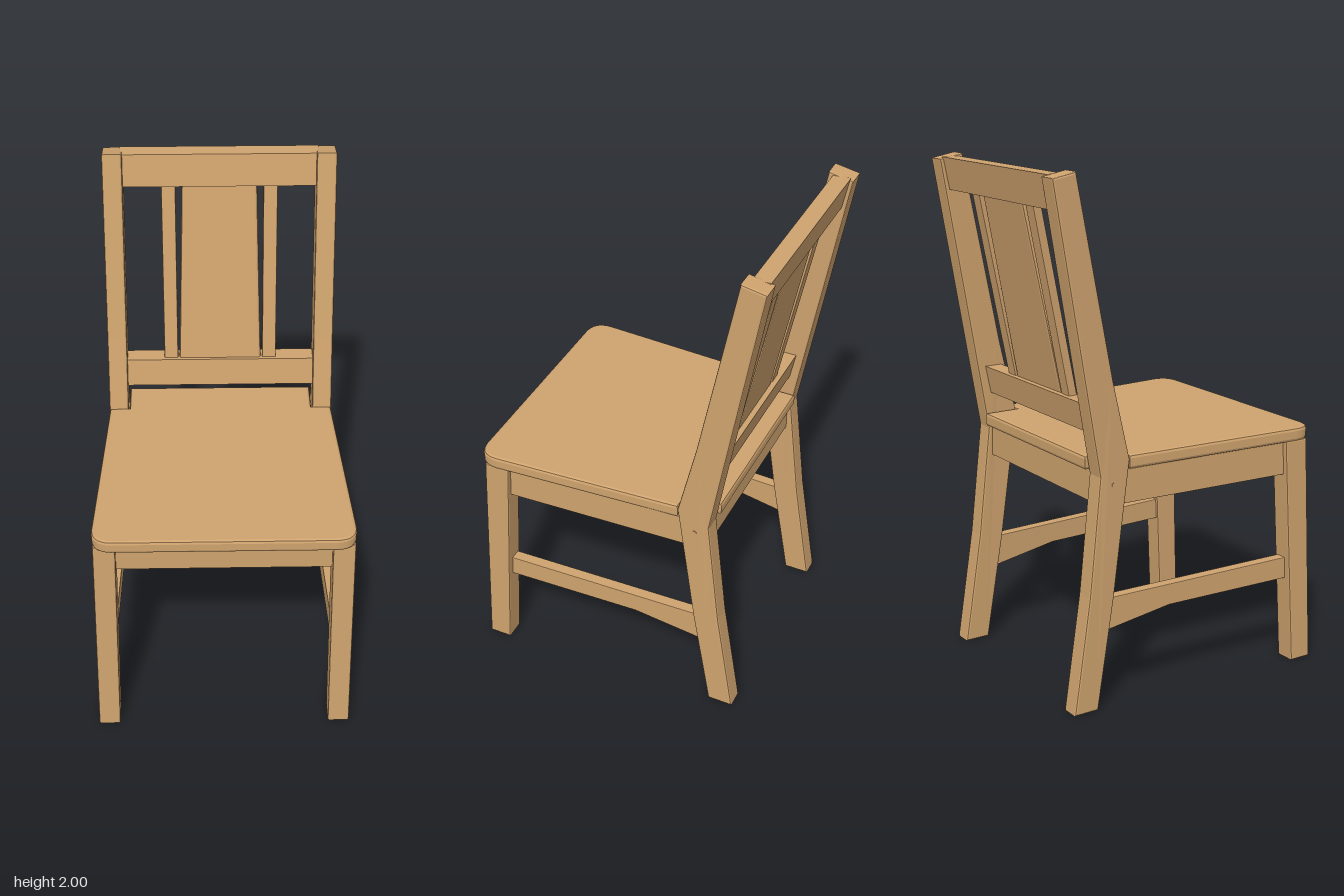
import * as THREE from 'three';

const wood = new THREE.MeshStandardMaterial({ color: 0xcfa36e });
wood.name = 'light wood';

// Bevelled extrusion that keeps the drawn outline, centred along its depth
function bevelled(shape, depth, bevel) {
  const g = new THREE.ExtrudeGeometry(shape, {
    depth: depth - 2 * bevel, bevelEnabled: true, bevelThickness: bevel,
    bevelSize: bevel, bevelOffset: -bevel, bevelSegments: 2, curveSegments: 8,
  });
  return g.translate(0, 0, bevel - depth / 2);
}

// Part drawn as a side outline of [z, y] points, given a width in x,
// then shifted or tapered by moveX(x, y, z)
function sidePart(name, outline, width, bevel, moveX) {
  const shape = new THREE.Shape(outline.map(([z, y]) => new THREE.Vector2(z, y)));
  const g = bevelled(shape, width, bevel).rotateY(-Math.PI / 2);
  if (moveX) {
    const p = g.attributes.position;
    for (let i = 0; i < p.count; i++) p.setX(i, moveX(p.getX(i), p.getY(i), p.getZ(i)));
    g.computeVertexNormals();
  }
  const mesh = new THREE.Mesh(g, wood);
  mesh.name = name;
  return mesh;
}

// Leaning strip of the backrest between two heights
const leanZ = (y) => -0.33 - (y - 1.155) * 0.2;
function leaning(y0, y1, offset, thick) {
  const a = leanZ(y0) - offset, b = leanZ(y1) - offset;
  return [[a, y0], [b, y1], [b - thick, y1], [a - thick, y0]];
}

export function createModel() {
  const chair = new THREE.Group();
  chair.name = 'chair';

  // Seat: wider at the front, rounded front corners, notched around the back posts
  const s = new THREE.Shape();
  s.moveTo(-0.372, 0.405);
  s.lineTo(-0.372, 0.262);
  s.lineTo(-0.452, 0.262);
  s.lineTo(-0.495, -0.49);
  s.quadraticCurveTo(-0.495, -0.565, -0.42, -0.569);
  s.lineTo(0.42, -0.569);
  s.quadraticCurveTo(0.495, -0.565, 0.495, -0.49);
  s.lineTo(0.452, 0.262);
  s.lineTo(0.372, 0.262);
  s.lineTo(0.372, 0.405);
  const seat = new THREE.Mesh(bevelled(s, 0.054, 0.012).rotateX(-Math.PI / 2), wood);
  seat.name = 'seat';
  seat.position.y = 0.937;
  chair.add(seat);

  for (const side of [1, -1]) {
    const label = side > 0 ? 'left' : 'right';
    // Side members follow the narrowing of the seat towards the back
    const splay = (x, y, z) => x + side * (0.431 + z * 0.035);

    chair.add(sidePart(label + 'FrontLeg',
      [[0.485, 0], [0.576, 0], [0.54, 0.915], [0.438, 0.915]], 0.085, 0.006,
      (x, y) => x + side * (0.462 - y * 0.015)));

    chair.add(sidePart(label + 'BackPost',
      [[-0.51, 0], [-0.408, 0], [-0.335, 0.43], [-0.262, 0.95], [-0.332, 1.25],
        [-0.48, 2.0], [-0.576, 1.982], [-0.45, 1.25], [-0.39, 0.9], [-0.44, 0.45]],
      0.078, 0.008, (x, y) => x + side * (y < 0.9 ? 0.424 - y * 0.009 : 0.4155 - (y - 0.9) * 0.004)));

    chair.add(sidePart(label + 'Apron',
      [[0.47, 0.778], [0.47, 0.912], [-0.3, 0.912], [-0.3, 0.783]], 0.05, 0.003, splay));

    // Side stretcher, deepening where it meets the back post
    chair.add(sidePart(label + 'Stretcher',
      [[0.5, 0.345], [0.5, 0.432], [-0.36, 0.427], [-0.375, 0.298], [-0.08, 0.345]],
      0.045, 0.003, splay));

    chair.add(sidePart(label + 'Slat', leaning(1.14, 1.88, 0.015, 0.035), 0.055, 0.004,
      (x) => x + side * 0.198));

    // Small peg at the seat joint
    const peg = new THREE.Mesh(new THREE.CylinderGeometry(0.008, 0.008, 0.006, 12), wood);
    peg.name = label + 'Peg';
    peg.rotation.z = Math.PI / 2;
    peg.position.set(side * 0.455, 0.865, -0.335);
    chair.add(peg);
  }

  // Front and back aprons
  chair.add(sidePart('frontApron',
    [[0.465, 0.785], [0.515, 0.785], [0.515, 0.912], [0.465, 0.912]], 0.84, 0.003));
  chair.add(sidePart('backApron',
    [[-0.375, 0.785], [-0.325, 0.785], [-0.325, 0.912], [-0.375, 0.912]], 0.77, 0.003));

  // Backrest rails and the tapered middle slat
  chair.add(sidePart('topRail', leaning(1.865, 1.99, 0, 0.067), 0.77, 0.005));
  chair.add(sidePart('lowerRail', leaning(1.045, 1.155, 0, 0.07), 0.77, 0.005));
  chair.add(sidePart('middleSlat', leaning(1.14, 1.88, 0.013, 0.035), 0.33, 0.01,
    (x, y) => x * (1 - (y - 1.14) * 0.16)));

  return chair;
}
